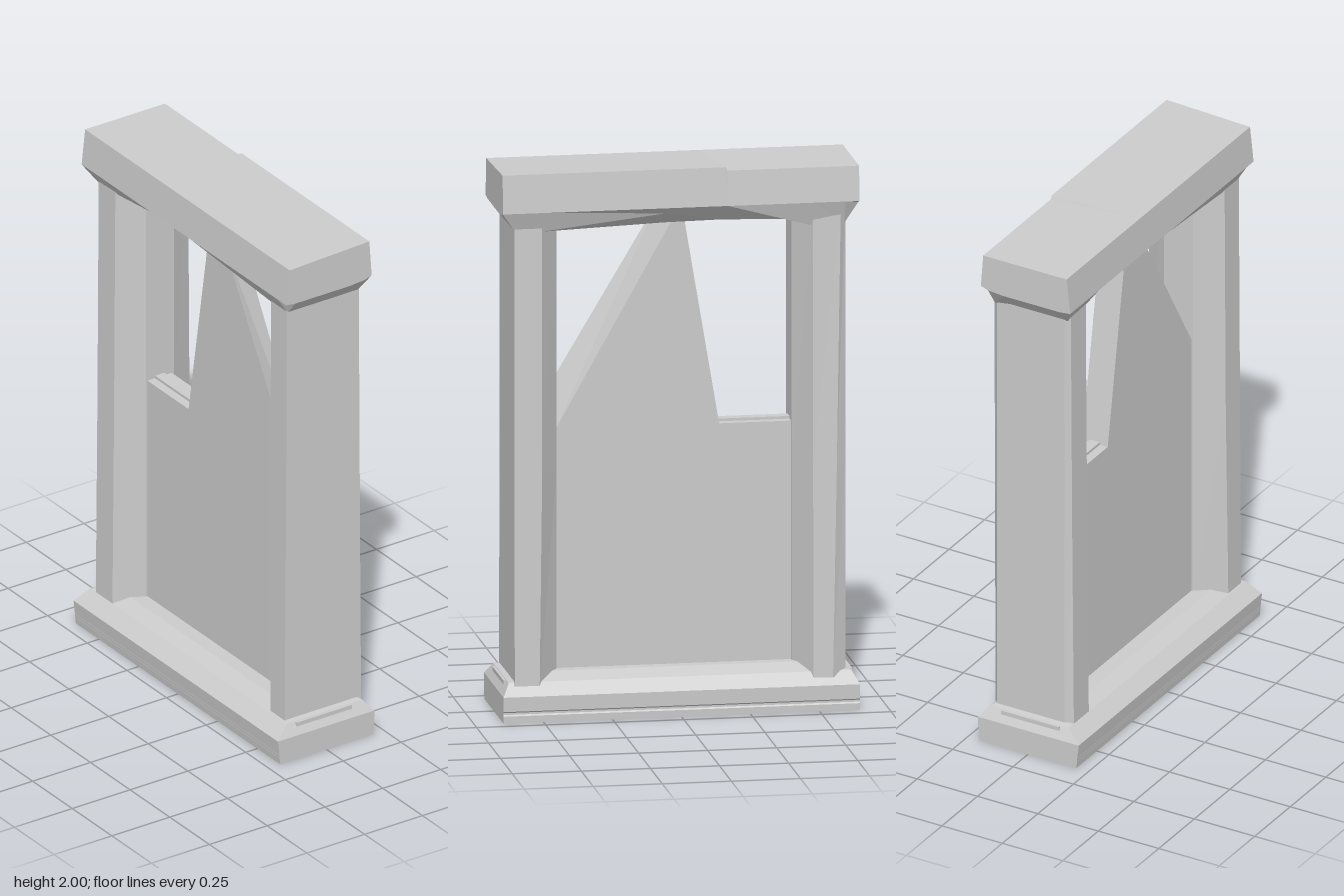
import * as THREE from 'three';

const material = new THREE.MeshStandardMaterial({ color: 0xcccccc, flatShading: true });

// Skins a row of equal-length rings of [x, y, z]; both ends are closed by fans from point 0.
function loft(name, rings) {
  const pos = [];
  const tri = (a, b, c) => pos.push(...a, ...b, ...c);
  const n = rings[0].length;
  for (let i = 0; i < rings.length - 1; i++) {
    for (let j = 0; j < n; j++) {
      const k = (j + 1) % n, a = rings[i], b = rings[i + 1];
      tri(a[j], a[k], b[k]);
      tri(a[j], b[k], b[j]);
    }
  }
  const first = rings[0], last = rings[rings.length - 1];
  for (let j = 1; j < n - 1; j++) {
    tri(first[0], first[j + 1], first[j]);
    tri(last[0], last[j], last[j + 1]);
  }
  const geometry = new THREE.BufferGeometry();
  geometry.setAttribute('position', new THREE.Float32BufferAttribute(pos, 3));
  geometry.computeVertexNormals();
  const mesh = new THREE.Mesh(geometry, material);
  mesh.name = name;
  return mesh;
}

function box(name, w, h, d, x, y, z) {
  const mesh = new THREE.Mesh(new THREE.BoxGeometry(w, h, d), material);
  mesh.position.set(x, y, z);
  mesh.name = name;
  return mesh;
}

// Horizontal rectangle used for the base: height, left and right x, half depth
const rect = ([y, x0, x1, hz]) => [[x0, y, hz], [x1, y, hz], [x1, y, -hz], [x0, y, -hz]];

// Front column section: flat outside, bevelled towards the opening
const frontSection = (y, r, inner) => [
  [-0.14 - r, y, 0.6], [0.17 + r, y, 0.6], [0.17 + r, y, inner],
  [0.07, y, 0.43], [-0.05, y, 0.43], [-0.14 - r, y, inner],
];

// Rear column section: same bevels plus worn outer corners
const rearSection = (y, r, chip) => [
  [-0.14 - r, y, -0.48], [-0.05, y, -0.42], [0.07, y, -0.42], [0.17 + r, y, -0.48],
  [0.175 + r, y, chip], [0.155, y, -0.6], [-0.125, y, -0.6], [-0.14 - r, y, -0.585],
];

// Lintel section: z, bottom height, lower edge heights at +x and -x, top height at +x, skew in z
const lintelSection = ([z, low, right, left, top, skew = 0]) => [
  [-0.09, low], [0.1, low], [0.165, right], [0.195, 1.86],
  [0.185, top], [-0.16, 1.987], [-0.175, 1.85], [-0.135, left],
].map(([x, y]) => [x, y, z + skew * (0.185 - x)]);

// Panel outline at one face, starting from the notch
const panelFace = (x, peakZ, shoulderZ, shoulderY) => [
  [-0.16, 1.035], [-0.025, 1.84], [peakZ, 1.84], [shoulderZ, shoulderY],
  [0.43, 0.1], [-0.43, 0.1], [-0.43, 1.035],
].map(([z, y]) => [x, y, z]);

export function createModel() {
  const model = new THREE.Group();

  // Base slab, grooved along its left side, with a sloping sill
  model.add(loft('base', [
    [0, -0.2, 0.203, 0.645], [0.025, -0.203, 0.204, 0.645], [0.03, -0.203, 0.199, 0.645],
    [0.037, -0.204, 0.199, 0.645], [0.042, -0.204, 0.205, 0.645], [0.095, -0.21, 0.207, 0.645],
    [0.14, -0.155, 0.17, 0.62], [0.163, -0.1, 0.1, 0.5],
  ].map(rect)));
  for (const s of [1, -1]) {
    model.add(box('columnFoot', 0.24, 0.035, 0.05, 0, 0.12, s * 0.605));
  }

  // Uprights
  model.add(loft('frontColumn', [
    frontSection(0.12, 0.01, 0.51), frontSection(0.9, 0.005, 0.5), frontSection(1.84, 0, 0.5),
  ]));
  model.add(loft('rearColumn', [
    rearSection(0.12, 0.015, -0.55), rearSection(0.9, 0.008, -0.565), rearSection(1.84, 0.002, -0.58),
  ]));

  // Lintel, worn away underneath near the middle, with a low slanting step on top
  model.add(loft('lintel', [
    [-0.645, 1.845, 1.85, 1.845, 1.987], [-0.595, 1.785, 1.775, 1.785, 1.987],
    [-0.48, 1.78, 1.77, 1.79, 1.987], [-0.168, 1.79, 1.855, 1.84, 1.987, 0.1],
    [-0.163, 1.79, 1.855, 1.84, 2, 0.1], [0.05, 1.787, 1.835, 1.82, 2],
    [0.5, 1.783, 1.785, 1.785, 2], [0.595, 1.785, 1.785, 1.785, 2],
    [0.645, 1.845, 1.85, 1.845, 2],
  ].map(lintelSection)));

  // Broken panel: a tall shard beside a low ledge, with differing faces
  model.add(loft('brokenPanel', [
    panelFace(-0.045, 0.04, 0.44, 1.17), panelFace(0.06, -0.02, 0.43, 1.04),
  ]));
  model.add(box('ledgeRidge', 0.04, 0.02, 0.27, 0.008, 1.035, -0.295));

  return model;
}
